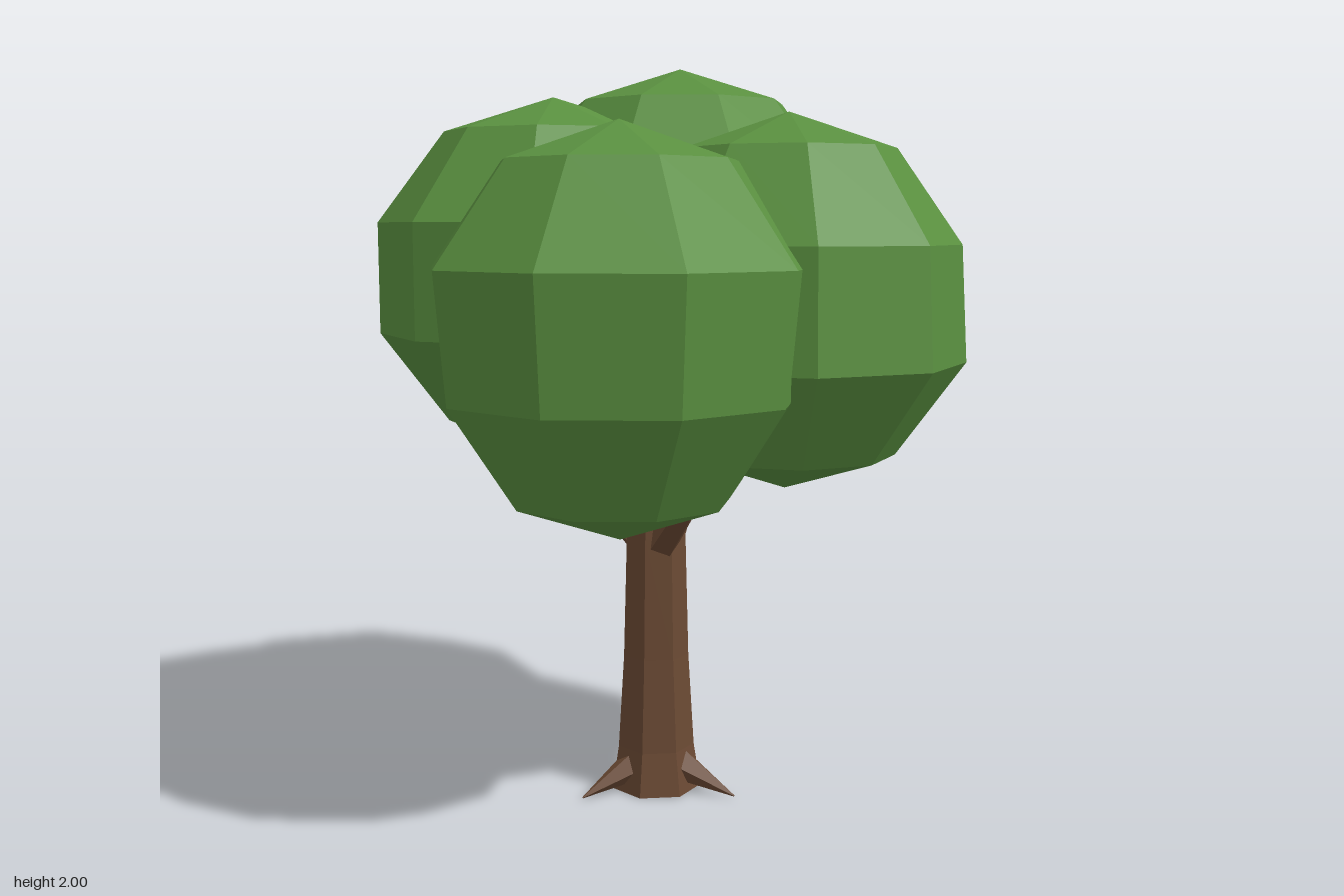
import * as THREE from 'three';

export function createModel() {
  const tree = new THREE.Group();
  tree.name = 'tree';
  const leaf = new THREE.MeshStandardMaterial({ color: 0x5a9040, flatShading: true });
  leaf.name = 'leaf green';
  const bark = new THREE.MeshStandardMaterial({ color: 0x6b4a34, flatShading: true });
  bark.name = 'bark brown';

  const add = (name, geometry, material) => {
    const mesh = new THREE.Mesh(geometry, material);
    mesh.name = name;
    tree.add(mesh);
    return mesh;
  };

  // Tapered limb running from one point to another
  const limb = (name, from, to, r0, r1, sides) => {
    const a = new THREE.Vector3(...from), b = new THREE.Vector3(...to);
    const dir = b.clone().sub(a);
    const mesh = add(name, new THREE.CylinderGeometry(r1, r0, dir.length(), sides), bark);
    mesh.position.copy(a).add(b).multiplyScalar(0.5);
    mesh.quaternion.setFromUnitVectors(new THREE.Vector3(0, 1, 0), dir.normalize());
  };

  // Trunk, flared at the foot
  const profile = [[0, 0], [0.127, 0], [0.108, 0.12], [0.092, 0.38], [0.083, 0.72], [0.072, 1.05], [0, 1.05]];
  const trunk = add('trunk', new THREE.LatheGeometry(profile.map(p => new THREE.Vector2(...p)), 7), bark);
  trunk.position.set(-0.003, 0, 0.036);

  // Three roots spread evenly round the foot
  for (const degrees of [60, 180, 300]) {
    const a = THREE.MathUtils.degToRad(degrees);
    const at = (r, y) => [Math.cos(a) * r, y, 0.04 + Math.sin(a) * r];
    limb('root', at(0.06, 0.075), at(0.24, 0.006), 0.05, 0.002, 5);
  }

  // Branches reaching into the crown
  limb('rightBranch', [-0.03, 0.7, 0.0], [-0.24, 1.02, -0.19], 0.045, 0.028, 5);
  limb('leftBranch', [0.05, 0.7, 0.02], [0.34, 1.12, -0.14], 0.045, 0.02, 5);
  limb('frontBranch', [-0.01, 0.7, 0.08], [-0.06, 0.93, 0.36], 0.048, 0.03, 5);

  // Crown clumps: centre, radius, half height, turn, widths of upper and lower rings
  const clumps = [
    ['frontRightFoliage', [-0.26, 1.295, 0.28], 0.505, 0.52, -3, 1.01, 0.95],
    ['frontLeftFoliage', [0.27, 1.355, 0.26], 0.49, 0.5, 22, 0.98, 1.02],
    ['backLeftFoliage', [0.22, 1.505, -0.19], 0.51, 0.495, -3, 1, 0.99],
    ['backRightFoliage', [-0.155, 1.415, -0.255], 0.512, 0.495, 14, 1, 1],
  ];
  for (const [name, centre, radius, half, turn, upper, lower] of clumps) {
    const geometry = new THREE.SphereGeometry(1, 9, 5);
    const p = geometry.attributes.position;
    for (let i = 0; i < p.count; i++) {
      const r = radius * (p.getY(i) > 0 ? upper : lower);
      p.setXYZ(i, p.getX(i) * r, p.getY(i) * half, p.getZ(i) * r);
    }
    const mesh = add(name, geometry, leaf);
    mesh.position.set(...centre);
    mesh.rotation.y = THREE.MathUtils.degToRad(turn);
  }
  return tree;
}
